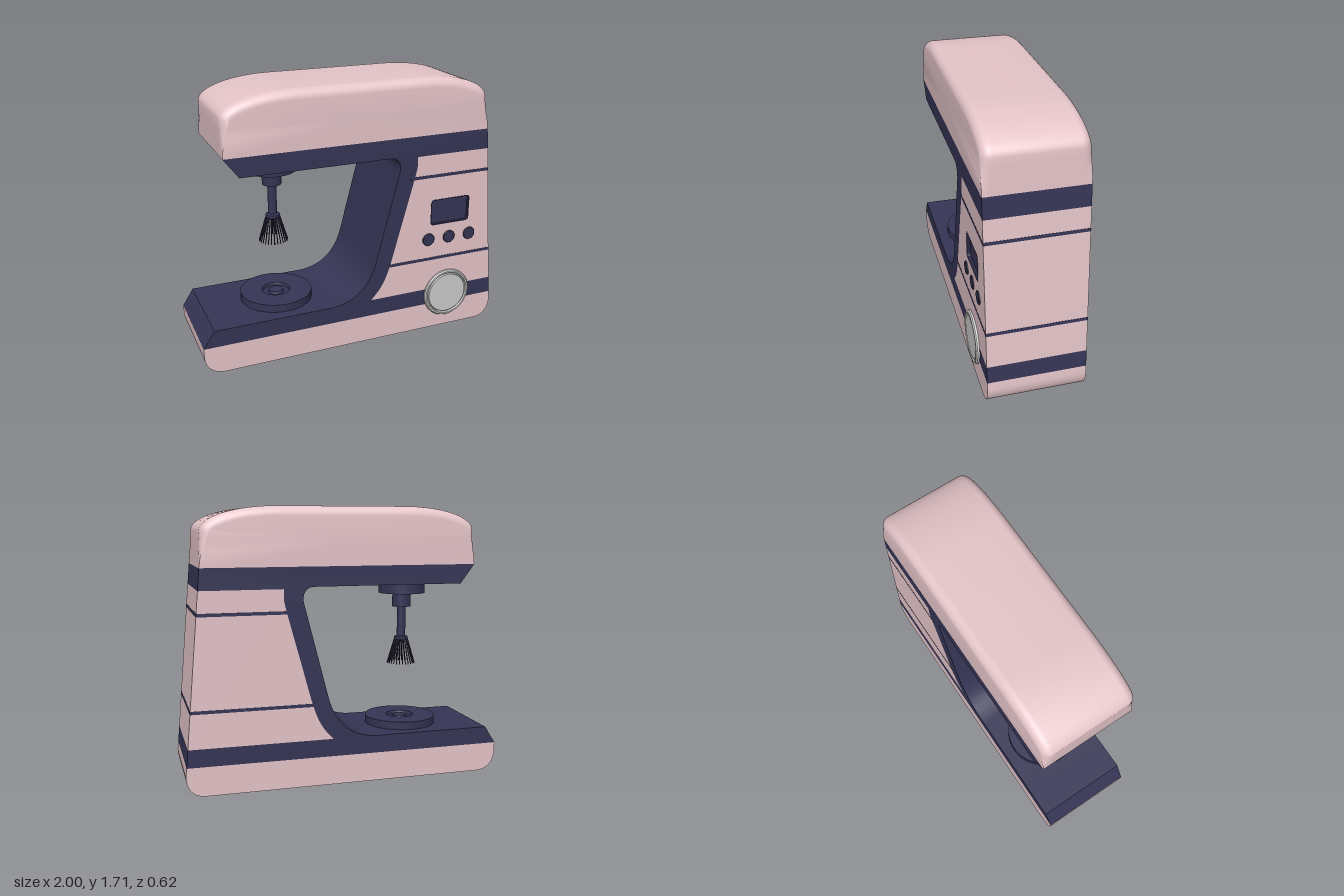
import * as THREE from 'three';
import { toCreasedNormals } from 'three/addons/utils/BufferGeometryUtils.js';

const BACK = -0.31, FRONT = 0.29, MID = -0.01;
const mat = (color) => new THREE.MeshStandardMaterial({ color });

export function createModel() {
  const group = new THREE.Group();
  const pink = mat(0xe6c6ca), navy = mat(0x363556), dark = mat(0x2b2a45), grey = mat(0xcccccc);

  const add = (name, geo, material, x = 0, y = 0, z = 0, parent = group) => {
    const mesh = new THREE.Mesh(geo, material);
    mesh.name = name;
    mesh.position.set(x, y, z);
    parent.add(mesh);
    return mesh;
  };
  const extrude = (shape, z0, z1) => {
    const g = new THREE.ExtrudeGeometry(shape, { depth: z1 - z0, bevelEnabled: false, curveSegments: 16 });
    g.translate(0, 0, z0);
    return toCreasedNormals(g, 0.6);
  };
  const lathe = (pts, seg = 48) =>
    toCreasedNormals(new THREE.LatheGeometry(pts.map((p) => new THREE.Vector2(...p)), seg), 0.5);
  const roundRect = (Type, x0, y0, x1, y1, r) => {
    const s = new Type();
    s.moveTo(x0 + r, y0);
    s.lineTo(x1 - r, y0).quadraticCurveTo(x1, y0, x1, y0 + r);
    s.lineTo(x1, y1 - r).quadraticCurveTo(x1, y1, x1 - r, y1);
    s.lineTo(x0 + r, y1).quadraticCurveTo(x0, y1, x0, y1 - r);
    s.lineTo(x0, y0 + r).quadraticCurveTo(x0, y0, x0 + r, y0);
    return s;
  };
  // Sloping rear edge of the whole body
  const rear = (y) => 0.904 + 0.087 * (1.22 - y);

  // Base with rounded lower corners
  const base = new THREE.Shape();
  base.moveTo(-1, 0.18);
  base.lineTo(-1, 0.13).bezierCurveTo(-1, 0.05, -0.95, 0, -0.87, 0);
  base.lineTo(0.88, 0).bezierCurveTo(0.96, 0, 1, 0.05, 1, 0.13);
  base.lineTo(rear(0.18), 0.18);
  add('base', extrude(base, BACK, FRONT), pink);

  // C-shaped trim: base deck, column edge and underside of the head
  const seam = [[0.403, 1.16], [0.385, 1.08], [0.3, 0.77], [0.225, 0.5], [0.17, 0.375], [0.1, 0.29]]
    .map((p) => new THREE.Vector2(...p));
  const trim = new THREE.Shape();
  trim.moveTo(-1, 0.18);
  trim.lineTo(rear(0.18), 0.18).lineTo(rear(0.29), 0.29).lineTo(0.1, 0.29);
  trim.splineThru([...seam].reverse().slice(1));
  trim.lineTo(0.4, 1.22).lineTo(rear(1.22), 1.22).lineTo(rear(1.35), 1.35);
  trim.lineTo(-0.82, 1.35).lineTo(-0.73, 1.23).lineTo(0.22, 1.23);
  trim.bezierCurveTo(0.265, 1.23, 0.295, 1.19, 0.28, 1.13);
  trim.lineTo(0.13, 0.55).bezierCurveTo(0.09, 0.4, -0.01, 0.29, -0.19, 0.29);
  trim.lineTo(-0.93, 0.29);
  add('trimFrame', extrude(trim, BACK, FRONT), navy);

  // Column, with a recess for the display in its front layer
  const columnShape = () => {
    const s = new THREE.Shape();
    s.moveTo(0.1, 0.29);
    s.lineTo(rear(0.29), 0.29).lineTo(rear(1.22), 1.22).lineTo(0.4, 1.22).lineTo(0.403, 1.16);
    s.splineThru(seam.slice(1));
    return s;
  };
  add('column', extrude(columnShape(), BACK, FRONT - 0.03), pink);
  const face = columnShape();
  face.holes.push(roundRect(THREE.Path, 0.51, 0.745, 0.79, 0.92, 0.025));
  add('columnFace', extrude(face, FRONT - 0.03, FRONT), pink);

  // Display: lining of the recess and the screen inside it
  const lining = roundRect(THREE.Shape, 0.51, 0.745, 0.79, 0.92, 0.025);
  lining.holes.push(roundRect(THREE.Path, 0.516, 0.751, 0.784, 0.914, 0.02));
  add('displayFrame', extrude(lining, FRONT - 0.03, FRONT + 0.001), dark);
  add('displayScreen', extrude(roundRect(THREE.Shape, 0.514, 0.749, 0.786, 0.916, 0.02), FRONT - 0.03, FRONT - 0.02), navy);

  // Thin stripes round the column
  for (const [y, x] of [[0.51, 0.2], [1.08, 0.36]]) {
    const s = new THREE.Shape();
    s.moveTo(x, y - 0.01);
    s.lineTo(rear(y - 0.01) + 0.001, y - 0.01).lineTo(rear(y + 0.01) + 0.001, y + 0.01).lineTo(x, y + 0.01);
    add('stripe', extrude(s, BACK - 0.001, FRONT + 0.001), navy);
  }

  add('head', headGeometry(), pink);

  // Buttons and dial on the front
  for (const x of [0.5, 0.65, 0.8]) {
    const b = add('button', lathe([[0.042, -0.01], [0.042, 0.005], [0.038, 0.008], [0, 0.008]], 32), navy, x, 0.65, FRONT);
    b.rotation.x = Math.PI / 2;
  }
  const dial = add('dial', lathe([[0.165, -0.01], [0.165, 0.012], [0.158, 0.02], [0.148, 0.02], [0.144, 0.008],
    [0.138, 0.008], [0.134, 0.018], [0, 0.018]], 64), grey, 0.65, 0.245, FRONT);
  dial.rotation.x = Math.PI / 2;

  // Bowl plate with a recessed ring and centre nub
  add('bowlPlate', lathe([[0.23, 0.28], [0.23, 0.34], [0.09, 0.34], [0.085, 0.322], [0.05, 0.322],
    [0.045, 0.338], [0, 0.338]], 64), navy, -0.445, 0, MID);

  // Drive hub and shaft
  const beater = new THREE.Group();
  beater.name = 'beater';
  beater.position.set(-0.45, 0, MID);
  group.add(beater);
  add('driveHub', lathe([[0, 0.85], [0.045, 0.85], [0.045, 0.865], [0.028, 0.872], [0.028, 1.065], [0.06, 1.065],
    [0.06, 1.155], [0.15, 1.155], [0.15, 1.235]]), navy, 0, 0, 0, beater);

  // Whisk wires fanning out in a cone
  const top = new THREE.Vector3(0.04, 0.86, 0), bottom = new THREE.Vector3(0.09, 0.69, 0);
  const dir = bottom.clone().sub(top);
  const wire = new THREE.CylinderGeometry(0.0035, 0.0035, dir.length(), 6);
  wire.applyQuaternion(new THREE.Quaternion().setFromUnitVectors(new THREE.Vector3(0, -1, 0), dir.clone().normalize()));
  wire.translate(0.065, 0.775, 0);
  for (let i = 0; i < 28; i++) {
    add('whiskWire', wire, dark, 0, 0, 0, beater).rotation.y = (i / 28) * Math.PI * 2;
  }
  return group;
}

// Head: side outline lofted across z, its edges rounding more towards the top
function headGeometry() {
  const s = new THREE.Shape();
  const steps = [1.4, 1.44, 1.48, 1.52];
  s.moveTo(-0.82, 1.35);
  s.lineTo(0.893, 1.35);
  steps.forEach((y) => s.lineTo(0.893 - (y - 1.35) * 0.048, y));
  s.lineTo(0.883, 1.56).bezierCurveTo(0.875, 1.65, 0.65, 1.705, 0.42, 1.705);
  s.lineTo(-0.38, 1.705).bezierCurveTo(-0.6, 1.705, -0.81, 1.65, -0.82, 1.57);
  [...steps].reverse().forEach((y) => s.lineTo(-0.82, y));
  const pts = s.getPoints(20), n = pts.length, r = 0.06, arc = 8;

  const slices = [];
  for (let k = 0; k <= arc; k++) {
    const a = (k / arc) * Math.PI / 2;
    slices.push([FRONT - r * (1 - Math.cos(a)), r * (1 - Math.sin(a))]);
  }
  for (let k = arc; k >= 0; k--) slices.push([2 * MID - slices[k][0], slices[k][1]]);

  const pos = [], index = [];
  for (const [z, inset] of slices) {
    pts.forEach((p, i) => {
      const t = pts[(i + 1) % n].clone().sub(pts[(i + n - 1) % n]).normalize();
      const d = inset * THREE.MathUtils.smoothstep(p.y, 1.36, 1.6);
      pos.push(p.x - t.y * d, p.y + t.x * d, z);
    });
  }
  const last = slices.length - 1, c0 = pos.length / 3;
  pos.push(0, 1.5, FRONT, 0, 1.5, BACK);
  for (let i = 0; i < n; i++) {
    const j = (i + 1) % n;
    for (let k = 0; k < last; k++) {
      const a = k * n + i, b = a + n, c = k * n + j, d = c + n;
      index.push(a, b, c, b, d, c);
    }
    index.push(c0, i, j, c0 + 1, last * n + j, last * n + i);
  }
  const g = new THREE.BufferGeometry();
  g.setAttribute('position', new THREE.Float32BufferAttribute(pos, 3));
  g.setIndex(index);
  return toCreasedNormals(g, 0.6);
}
